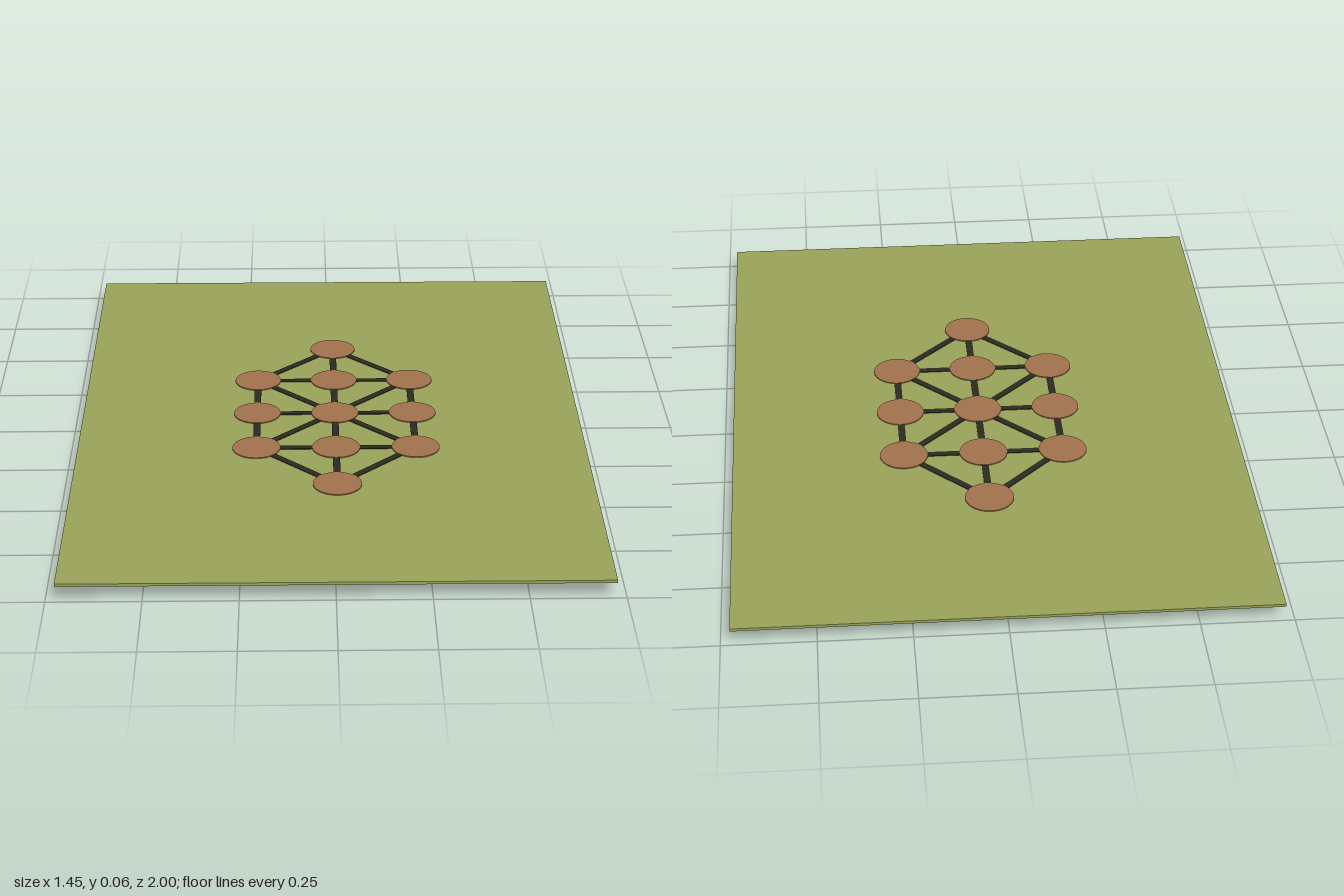
import * as THREE from 'three';

const material = (name, color) => {
  const m = new THREE.MeshStandardMaterial({ color });
  m.name = name;
  return m;
};

export function createModel() {
  const group = new THREE.Group();
  const green = material('mossGreen', 0x98a258);
  const brown = material('clayBrown', 0xa0704c);
  const dark = material('darkLine', 0x2a2a20);

  const add = (name, geometry, mat, x, y, z) => {
    const mesh = new THREE.Mesh(geometry, mat);
    mesh.name = name;
    mesh.position.set(x, y, z);
    group.add(mesh);
    return mesh;
  };

  // Thin rectangular board
  add('board', new THREE.BoxGeometry(1.448, 0.008, 2), green, 0, 0.049, 0);

  // Grid position (column, row) to model coordinates
  const step = 0.227;
  const at = (c, r) => new THREE.Vector2(0.012 + c * step, -0.003 + r * step);

  // Round pegs passing through the board
  const pegs = [[0, -2], [0, 2]];
  for (let r = -1; r <= 1; r++) for (let c = -1; c <= 1; c++) pegs.push([c, r]);
  const pegGeometry = new THREE.CylinderGeometry(0.068, 0.068, 0.056, 48);
  for (const [c, r] of pegs) {
    const p = at(c, r);
    add('peg', pegGeometry, brown, p.x, 0.028, p.y);
  }

  // Connecting lines on top of the board
  const line = (c1, r1, c2, r2) => {
    const a = at(c1, r1), b = at(c2, r2);
    const bar = add('connectingLine', new THREE.BoxGeometry(a.distanceTo(b), 0.003, 0.02), dark,
      (a.x + b.x) / 2, 0.0535, (a.y + b.y) / 2);
    bar.rotation.y = -Math.atan2(b.y - a.y, b.x - a.x);
  };
  for (const r of [-1, 0, 1]) line(-1, r, 1, r);
  line(0, -2, 0, 2);
  for (const s of [-1, 1]) {
    line(s, -1, s, 1);
    line(-1, -s, 1, s);
    for (const e of [-1, 1]) line(0, 2 * e, s, e);
  }
  return group;
}
